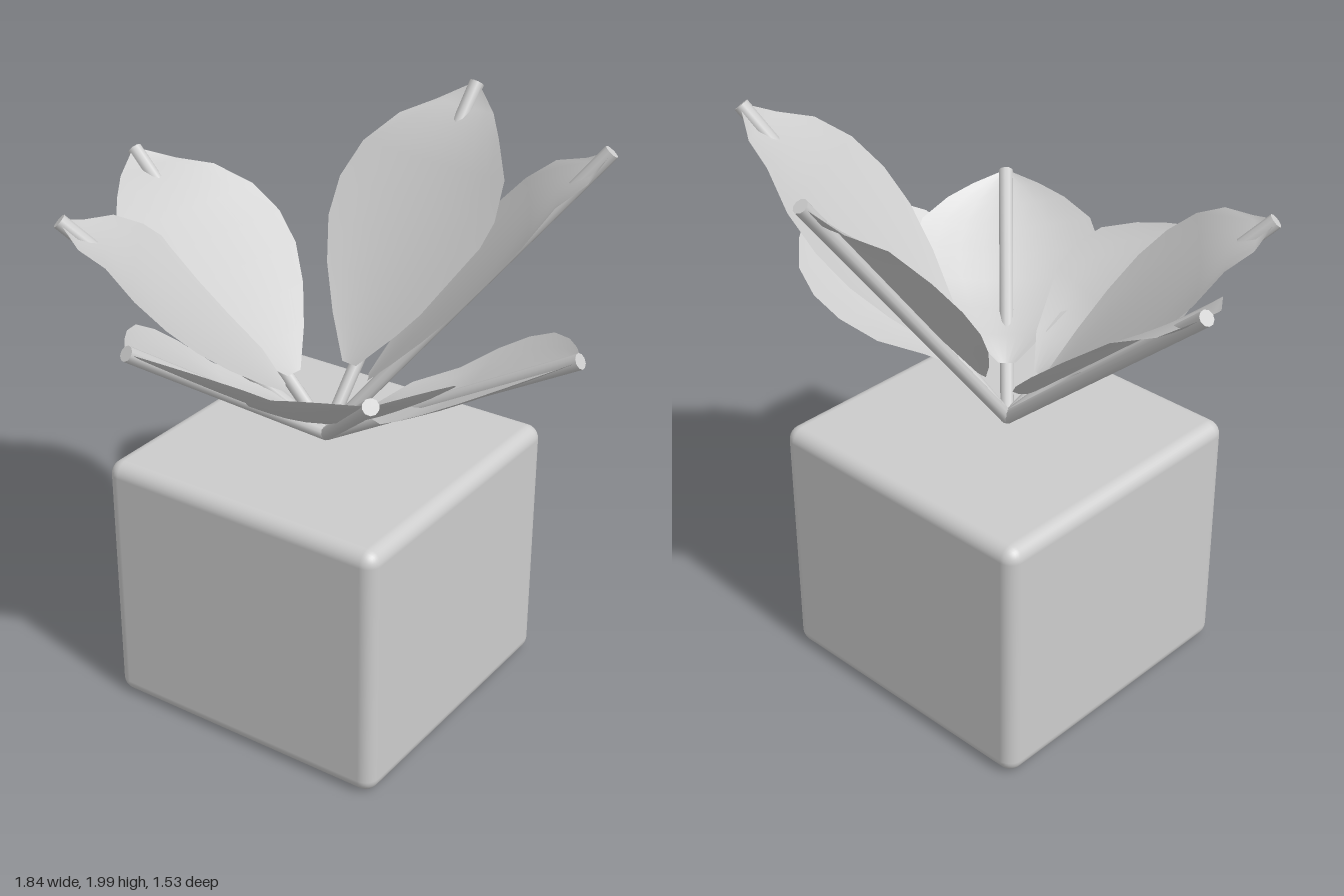
import * as THREE from 'three';
import { RoundedBoxGeometry } from 'three/addons/geometries/RoundedBoxGeometry.js';

const BASE = new THREE.Vector3(-0.01, 0.945, 0.02);
// Blade outline: [fraction along the stem, half width]
const OUTLINE = [[0.19, 0.03], [0.3, 0.14], [0.42, 0.24], [0.54, 0.31], [0.65, 0.33],
  [0.76, 0.3], [0.86, 0.21], [0.93, 0.12], [0.99, 0.025]];
// Stem tips; upper blades lie on top of their stem, lower ones are pierced by it
const LEAVES = [
  { name: 'backLeaf', tip: [0.075, 1.975, -0.75], lift: 0.035, cup: 0.03, width: 1 },
  { name: 'backLeftLeaf', tip: [0.765, 1.975, -0.395], lift: 0.035, cup: 0.03, width: 1 },
  { name: 'leftLeaf', tip: [0.91, 1.47, 0.015], lift: 0, cup: 0.05, width: 1 },
  { name: 'frontLeftLeaf', tip: [0.56, 1.47, 0.615], lift: 0, cup: 0.07, width: 0.98 },
  { name: 'frontLeaf', tip: [-0.235, 1.47, 0.745], lift: 0, cup: 0.07, width: 0.98 },
  { name: 'frontRightLeaf', tip: [-0.675, 1.725, 0.53], lift: 0.035, cup: 0.03, width: 1.06 },
  { name: 'rightLeaf', tip: [-0.905, 1.73, -0.11], lift: 0.035, cup: 0.02, width: 1.06 },
];

// Cupped blade built from cross-sections along the stem
function bladeGeometry(axis, side, up, { lift, cup, width }) {
  const n = 8, pos = [], index = [];
  OUTLINE.forEach(([t, half], i) => {
    const rootLift = t < 0.35 ? 0.035 : lift;
    const h = t > 0.88 ? 0 : rootLift;
    for (let j = 0; j <= n; j++) {
      const u = (j / n) * 2 - 1;
      const edge = (half / 0.33) * u * u;
      const p = BASE.clone().addScaledVector(axis, t)
        .addScaledVector(side, u * half * width)
        .addScaledVector(up, h + cup * edge);
      pos.push(p.x, p.y, p.z);
      if (i > 0 && j < n) {
        const a = (i - 1) * (n + 1) + j, b = a + n + 1;
        index.push(a, a + 1, b, a + 1, b + 1, b);
      }
    }
  });
  const g = new THREE.BufferGeometry();
  g.setAttribute('position', new THREE.Float32BufferAttribute(pos, 3));
  g.setIndex(index);
  g.computeVertexNormals();
  return g;
}

function makeLeaf(spec, material) {
  const leaf = new THREE.Group();
  leaf.name = spec.name;
  const axis = new THREE.Vector3(...spec.tip).sub(BASE);
  const dir = axis.clone().normalize();
  const side = new THREE.Vector3(0, 1, 0).cross(dir).normalize();
  const up = dir.clone().cross(side);

  const stem = new THREE.Mesh(new THREE.CylinderGeometry(0.026, 0.023, axis.length(), 10), material);
  stem.name = 'stem';
  stem.position.copy(BASE).addScaledVector(axis, 0.5);
  stem.quaternion.setFromUnitVectors(new THREE.Vector3(0, 1, 0), dir);

  const blade = new THREE.Mesh(bladeGeometry(axis, side, up, spec), material);
  blade.name = 'blade';
  leaf.add(stem, blade);
  return leaf;
}

export function createModel() {
  const model = new THREE.Group();
  model.name = 'pottedPlant';
  const grey = new THREE.MeshStandardMaterial({ color: 0xcccccc });
  grey.name = 'light grey';
  const leafGrey = grey;
  leafGrey.side = THREE.DoubleSide;

  // Rounded cube pot
  const pot = new THREE.Mesh(new RoundedBoxGeometry(1.06, 0.915, 1.06, 4, 0.05), grey);
  pot.name = 'pot';
  pot.position.set(0, 0.4575, 0.02);
  model.add(pot);

  // Ring of leaves fanning out from one point
  for (const spec of LEAVES) model.add(makeLeaf(spec, leafGrey));
  return model;
}
